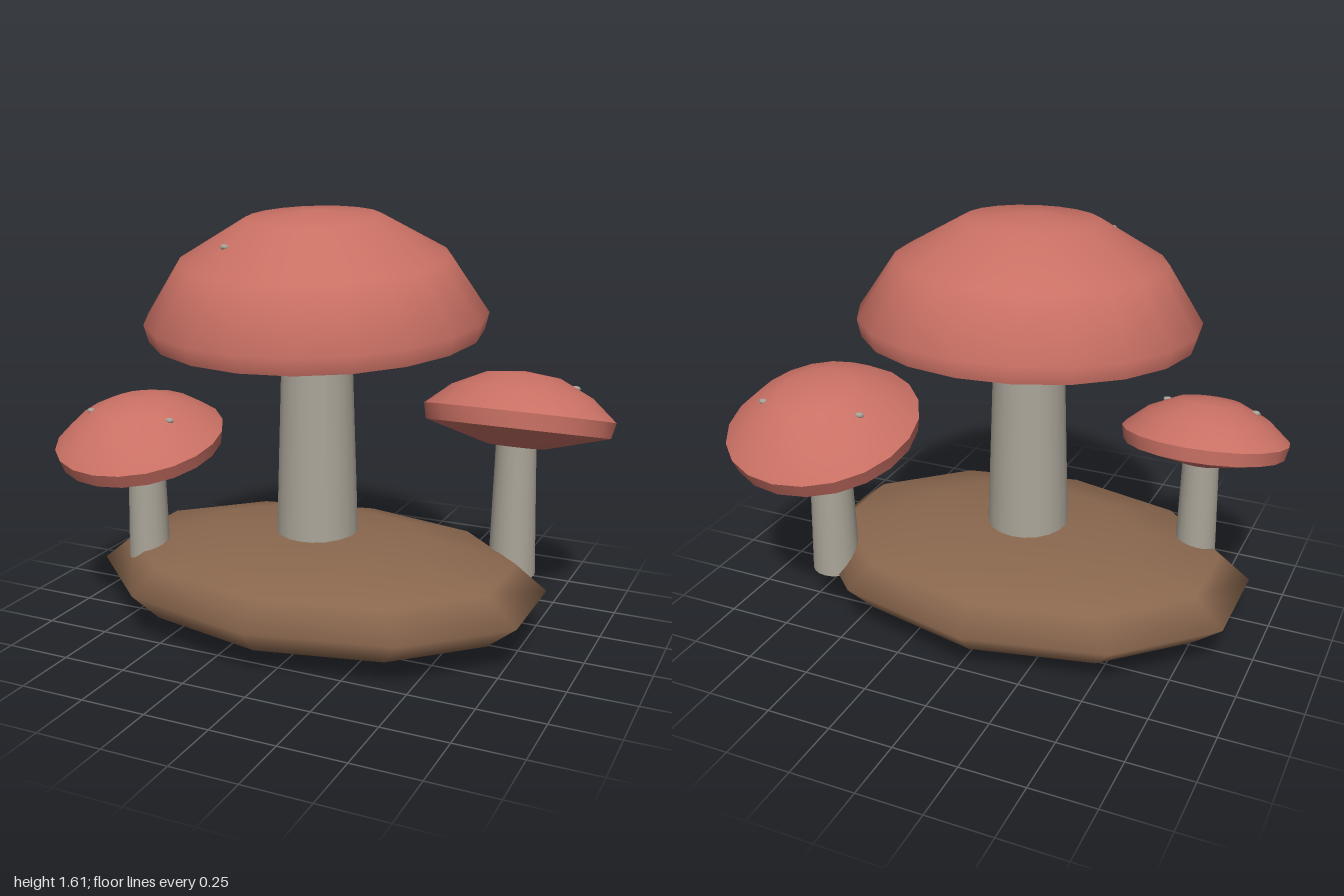
import * as THREE from 'three';
import { toCreasedNormals } from 'three/addons/utils/BufferGeometryUtils.js';

const material = (name, color) => {
  const m = new THREE.MeshStandardMaterial({ color });
  m.name = name;
  return m;
};

export function createModel() {
  const capRed = material('cap red', 0xc97064);
  const stemGrey = material('stem grey', 0xaaa498);
  const soilBrown = material('soil brown', 0x8a674e);
  const model = new THREE.Group();
  model.name = 'mushroomCluster';

  const add = (parent, name, geometry, mat, x, y, z) => {
    const mesh = new THREE.Mesh(geometry, mat);
    mesh.name = name;
    mesh.position.set(x, y, z);
    parent.add(mesh);
    return mesh;
  };

  // Soil mound: coarse squashed sphere
  const mound = new THREE.SphereGeometry(1, 10, 6, Math.PI / 2);
  mound.scale(0.904, 0.195, 0.627);
  add(model, 'soilMound', mound, soilBrown, -0.05, 0.198, 0.047);

  // Cap profiles run from the underside centre, around the rim, to the crown
  const largeProfile = [[0, -0.142], [0.225, -0.132], [0.62, -0.065], [0.636, 0],
    [0.5, 0.209], [0.25, 0.355], [0, 0.378]];
  const smallProfile = [[0, -0.138], [0.11, -0.132], [0.36, -0.062], [0.374, 0],
    [0.275, 0.085], [0.146, 0.147], [0, 0.164]];

  const mushrooms = [
    { name: 'largeMushroom', profile: largeProfile, size: 1, cap: [-0.052, 1.232, 0.055], tilt: 0.068,
      stem: [-0.055, 0.045], radii: [0.13, 0.162], span: [0.25, 1.2],
      spots: [[-0.25, 1.492, 0.38]] },
    { name: 'frontMushroom', profile: smallProfile, size: 0.86, cap: [-0.68, 0.755, 0.31], tilt: 0.24,
      stem: [-0.678, 0.272], radii: [0.068, 0.08], span: [0.24, 0.72],
      spots: [[-0.852, 0.836, 0.37], [-0.505, 0.836, 0.37]] },
    { name: 'backMushroom', profile: smallProfile, size: 0.985, cap: [0.627, 0.83, -0.33], tilt: -0.27,
      stem: [0.627, -0.298], radii: [0.075, 0.092], span: [0.19, 0.8],
      spots: [[0.42, 0.922, -0.405], [0.815, 0.922, -0.435]] },
  ];

  for (const m of mushrooms) {
    const group = new THREE.Group();
    group.name = m.name;
    model.add(group);

    // Tapered stem
    const [bottom, top] = m.span;
    add(group, 'stem', new THREE.CylinderGeometry(m.radii[0], m.radii[1], top - bottom, 20),
      stemGrey, m.stem[0], (bottom + top) / 2, m.stem[1]);

    // Tilted cap, smooth except at its sharp rim
    const points = m.profile.map(([r, y]) => new THREE.Vector2(r * m.size, y * m.size));
    const capGeometry = toCreasedNormals(new THREE.LatheGeometry(points, 20), 0.95);
    const cap = add(group, 'cap', capGeometry, capRed, ...m.cap);
    cap.rotation.x = m.tilt;

    // Tiny pale specks half sunk into the cap, dropped onto its surface
    const axis = new THREE.Vector3(0, 1, 0).applyAxisAngle(new THREE.Vector3(1, 0, 0), m.tilt);
    for (const [x, y, z] of m.spots) {
      const offset = new THREE.Vector3(x, y, z).sub(new THREE.Vector3(...m.cap));
      const along = offset.dot(axis);
      const radial = offset.clone().addScaledVector(axis, -along);
      const r = radial.length();
      const i = points.findIndex((p, k) => k > 3 && p.x <= r);
      const a = points[i - 1], b = points[i];
      const h = a.y + (b.y - a.y) * (a.x - r) / (a.x - b.x);
      const at = new THREE.Vector3(...m.cap).add(radial).addScaledVector(axis, h);
      const speck = add(group, 'speck', new THREE.SphereGeometry(0.018, 6, 4), stemGrey, at.x, at.y, at.z);
      speck.scale.set(1.1, 0.55, 0.8);
    }
  }
  return model;
}
